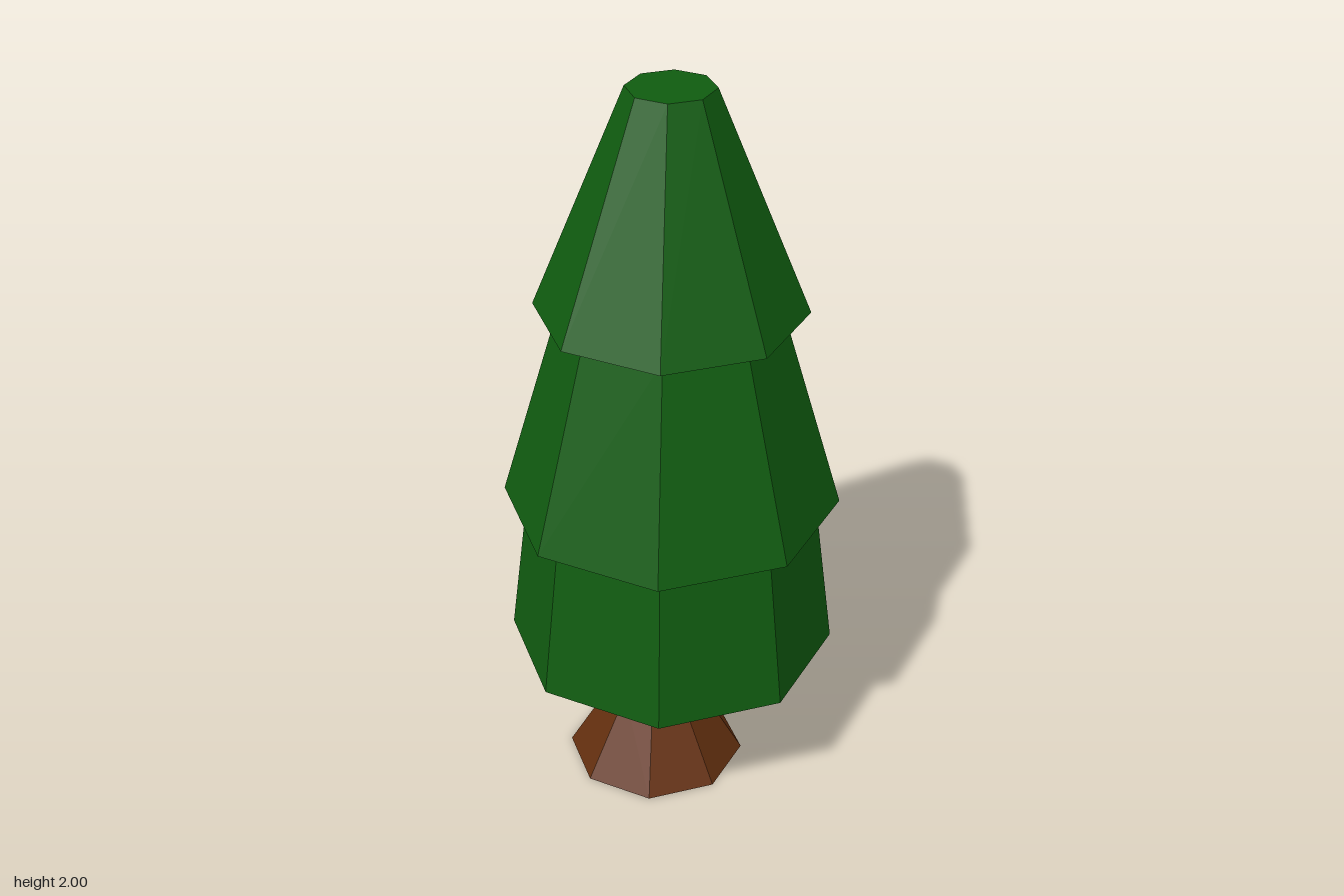
import * as THREE from 'three';

const SIDES = 8;

export function createModel() {
  const model = new THREE.Group();
  model.name = 'pineTree';

  const leafGreen = new THREE.MeshStandardMaterial({ color: 0x105c10, flatShading: true });
  leafGreen.name = 'leafGreen';
  const barkBrown = new THREE.MeshStandardMaterial({ color: 0x64300f, flatShading: true, side: THREE.DoubleSide });
  barkBrown.name = 'barkBrown';

  // Trunk: a flared, hollow base under a short stem, slightly off centre
  const profile = [[0.247, 0], [0.113, 0.23], [0.106, 0.38]].map(([r, y]) => new THREE.Vector2(r, y));
  const trunk = new THREE.Mesh(new THREE.LatheGeometry(profile, SIDES), barkBrown);
  trunk.name = 'trunk';
  trunk.position.set(0.008, 0, 0.065);
  model.add(trunk);

  // Foliage: three stacked tapering tiers
  const tiers = [
    { name: 'lowerFoliage', bottom: 0.38, top: 0.83, rBottom: 0.45, rTop: 0.393 },
    { name: 'middleFoliage', bottom: 0.83, top: 1.4, rBottom: 0.457, rTop: 0.29 },
    { name: 'upperFoliage', bottom: 1.4, top: 2, rBottom: 0.36, rTop: 0.115 },
  ];
  for (const t of tiers) {
    const tier = new THREE.Mesh(new THREE.CylinderGeometry(t.rTop, t.rBottom, t.top - t.bottom, SIDES), leafGreen);
    tier.name = t.name;
    tier.position.y = (t.top + t.bottom) / 2;
    model.add(tier);
  }

  return model;
}
